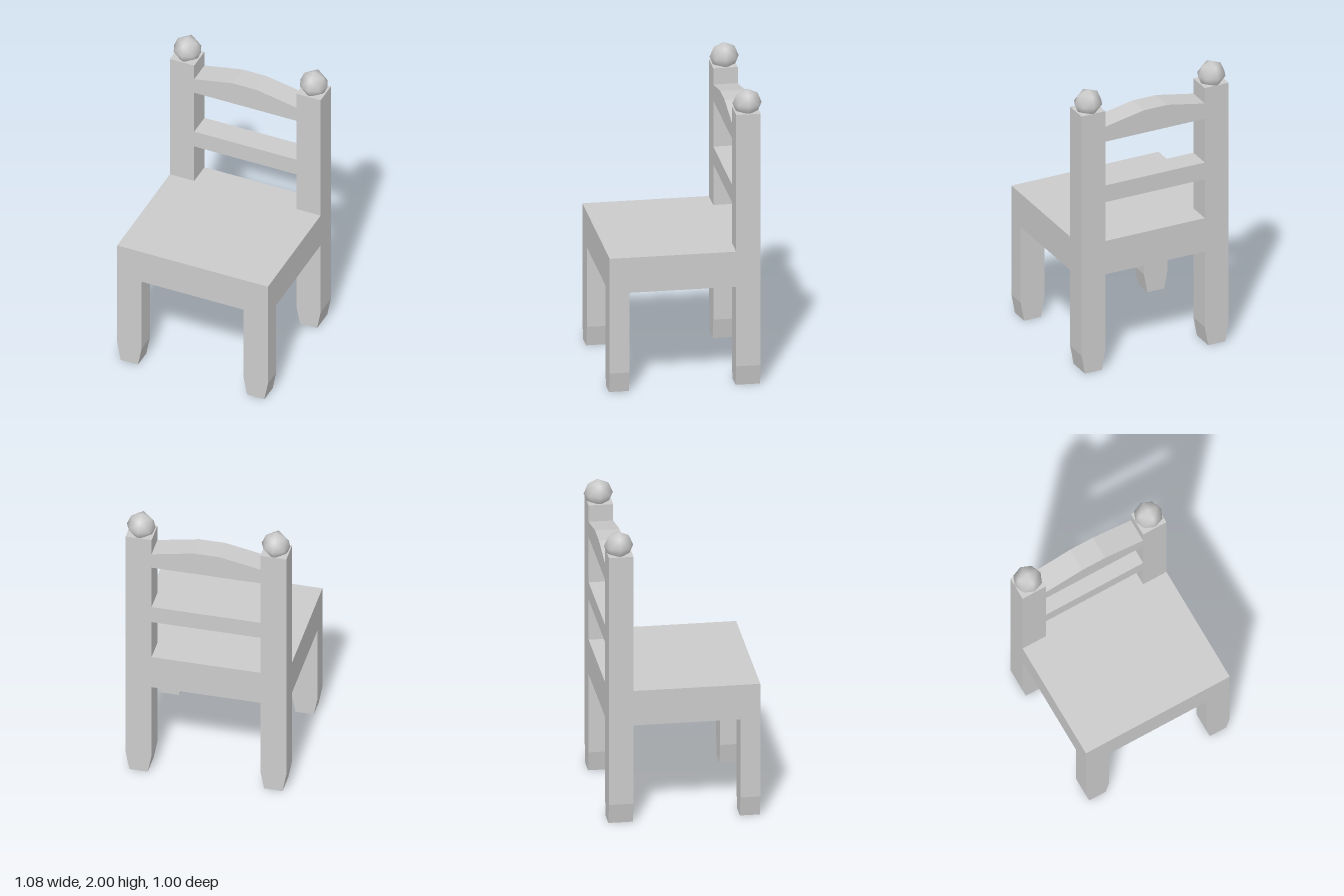
import * as THREE from 'three';

const grey = new THREE.MeshStandardMaterial({ color: 0xcccccc });

const BACK = -0.485, POST_FRONT = -0.325, FRONT = 0.5;
const INNER = 0.36, OUTER = 0.532;
const SEAT_BOTTOM = 0.68, SEAT_TOP = 0.92;

export function createModel() {
  const chair = new THREE.Group();
  chair.name = 'chair';

  const add = (name, geometry) => {
    const mesh = new THREE.Mesh(geometry, grey);
    mesh.name = name;
    chair.add(mesh);
    return mesh;
  };

  // Extrude an outline in the front plane between two depths
  const slab = (name, points, z0, z1) => {
    const shape = new THREE.Shape(points.map(([x, y]) => new THREE.Vector2(x, y)));
    const geometry = new THREE.ExtrudeGeometry(shape, { depth: z1 - z0, bevelEnabled: false });
    return add(name, geometry.translate(0, 0, z0));
  };

  const rect = (x, y0, y1) => [[-x, y0], [x, y0], [x, y1], [-x, y1]];

  // Upright with a foot that tapers sideways
  const upright = (name, side, top, z0, z1) => {
    const outline = [
      [0.385, 0], [0.507, 0], [OUTER, 0.135],
      [OUTER, top], [INNER, top], [INNER, 0.135],
    ];
    slab(name, outline.map(([x, y]) => [x * side, y]), z0, z1);
  };

  for (const [label, side] of [['left', 1], ['right', -1]]) {
    upright(label + 'BackPost', side, 1.855, BACK, POST_FRONT);
    upright(label + 'FrontLeg', side, SEAT_BOTTOM, 0.37, FRONT);

    // Faceted ball, smoothly shaded
    add(label + 'Finial', new THREE.OctahedronGeometry(0.095, 1))
      .position.set(side * 0.446, 1.905, -0.41);
  }

  // Thick seat, continued between the back posts
  slab('seat', rect(OUTER, SEAT_BOTTOM, SEAT_TOP), POST_FRONT, FRONT);
  slab('seatRear', rect(INNER, SEAT_BOTTOM, SEAT_TOP), BACK, POST_FRONT);

  // Back rails
  slab('middleRail', rect(INNER, 1.2, 1.32), BACK, POST_FRONT);
  slab('crestRail', [
    [-INNER, 1.635], [INNER, 1.635], [INNER, 1.742],
    [0.08, 1.797], [-0.09, 1.797], [-INNER, 1.745],
  ], BACK, POST_FRONT);

  return chair;
}
